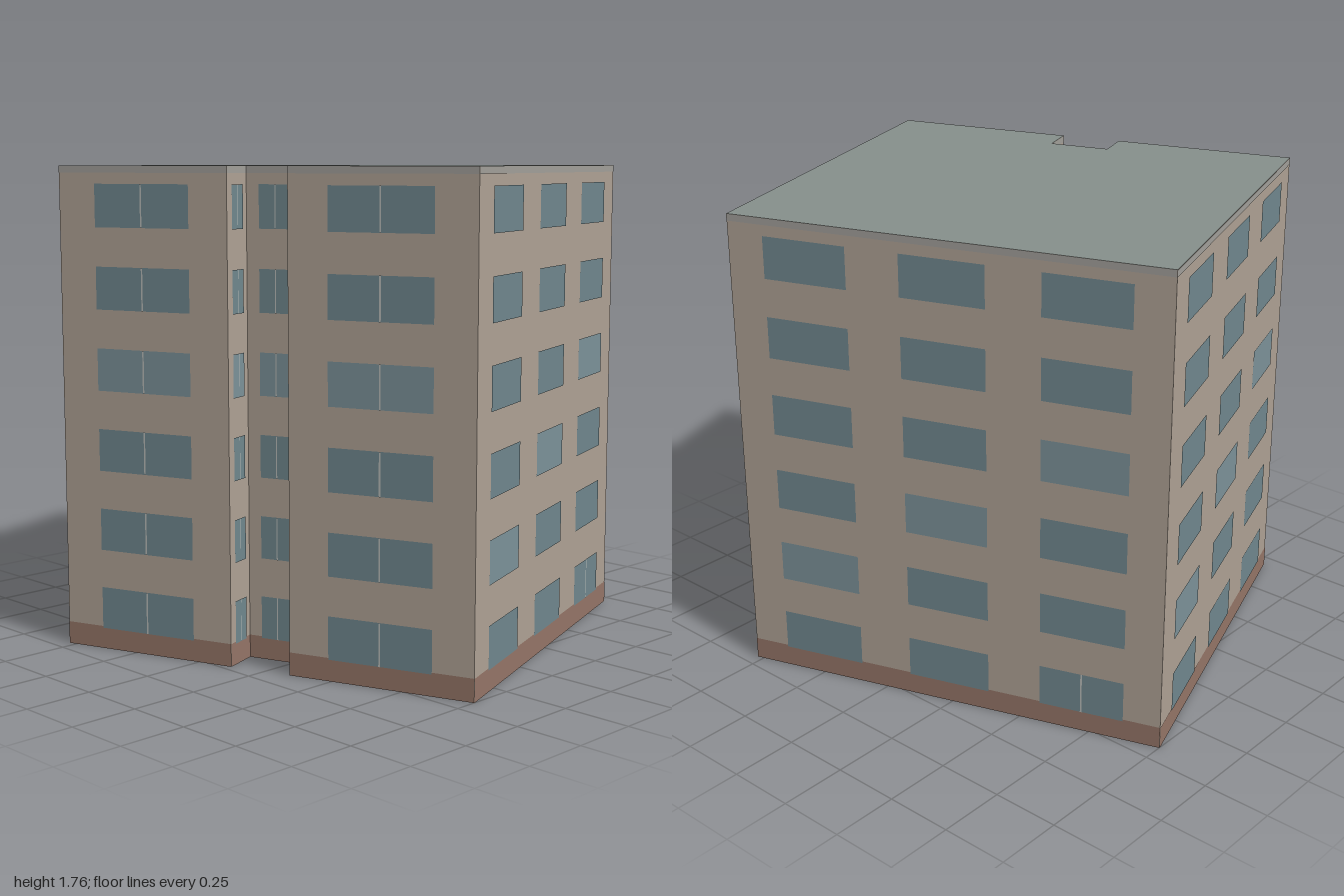
import * as THREE from 'three';

const HEIGHT = 1.765, FLOORS = 6, PITCH = 0.294, SILL = 0.077, WINDOW_H = 0.154;

// Footprint corners [x, z], running left to right as each wall is seen from outside
const CORNERS = [
  [-0.53, 0.945], [0.125, 0.72], [0.08, 0.59], [0.3, 0.515],
  [0.345, 0.642], [1, 0.418], [0.525, -0.95], [-1, -0.424],
];

// Bays of a wall as fractions of its length
const ONE_BAY = [[0.22, 0.78]];
const THREE_BAYS = [[0.085, 0.28], [0.403, 0.597], [0.72, 0.915]];
const WALLS = [
  { name: 'frontLeftWall', bays: ONE_BAY },
  { name: 'recessLeftWall', bays: ONE_BAY },
  { name: 'recessBackWall', bays: ONE_BAY },
  { name: 'recessRightWall', bays: ONE_BAY },
  { name: 'frontRightWall', bays: ONE_BAY },
  { name: 'rightSideWall', bays: THREE_BAYS, door: true },
  { name: 'backWall', bays: THREE_BAYS, door: true },
  { name: 'leftSideWall', bays: THREE_BAYS },
];

const paint = (color, side = THREE.FrontSide) => new THREE.MeshStandardMaterial({ color, side });

export function createModel() {
  const model = new THREE.Group();
  model.name = 'apartmentBlock';
  const wallPaint = paint(0xb0a396, THREE.DoubleSide);
  const roofPaint = paint(0x87908c, THREE.DoubleSide);
  const plinthPaint = paint(0x967668);
  const trimPaint = paint(0xa3a09b);
  const glass = paint(0x71888f);
  const litGlass = paint(0x7d939a);
  const framePaint = paint(0xb9bdb9);

  // Upright rectangle on a wall, between two corners, set proud by a hair
  const panel = (parent, name, x0, x1, y0, y1, out, material) => {
    const mesh = new THREE.Mesh(new THREE.PlaneGeometry(x1 - x0, y1 - y0), material);
    mesh.position.set((x0 + x1) / 2, (y0 + y1) / 2, out);
    mesh.name = name;
    parent.add(mesh);
  };

  WALLS.forEach(({ name, bays, door }, i) => {
    const [ax, az] = CORNERS[i];
    const [bx, bz] = CORNERS[(i + 1) % CORNERS.length];
    const length = Math.hypot(bx - ax, bz - az);

    // Local x runs along the wall, local z points outward
    const wall = new THREE.Group();
    wall.name = name;
    wall.position.set(ax, 0, az);
    wall.rotation.y = Math.atan2(az - bz, bx - ax);
    model.add(wall);

    panel(wall, 'wallSurface', 0, length, 0, HEIGHT, 0, wallPaint);
    panel(wall, 'plinth', 0, length, 0, 0.083, 0.0015, plinthPaint);
    panel(wall, 'roofTrim', 0, length, HEIGHT - 0.025, HEIGHT, 0.0015, trimPaint);

    // Windows, one pane colour lighter along a diagonal of floors
    bays.forEach(([from, to], bay) => {
      const x0 = from * length, x1 = to * length, mid = (x0 + x1) / 2;
      const single = bays.length === 1;
      for (let floor = 0; floor < FLOORS; floor++) {
        const y0 = SILL + floor * PITCH, y1 = y0 + WINDOW_H;
        const lit = floor === (single ? 3 : bay + 1);
        panel(wall, 'window', x0, x1, y0, y1, 0.003, lit ? litGlass : glass);
        const isDoor = door && floor === 0 && bay === bays.length - 1;
        if (single || isDoor) {
          const half = Math.min(0.003, length * 0.01);
          panel(wall, 'windowDivider', mid - half, mid + half, y0, y1, 0.0045, framePaint);
        }
      }
    });
  });

  // Flat roof over the footprint
  const outline = new THREE.Shape(CORNERS.map(([x, z]) => new THREE.Vector2(x, -z)));
  const roof = new THREE.Mesh(new THREE.ShapeGeometry(outline).rotateX(-Math.PI / 2), roofPaint);
  roof.position.y = HEIGHT;
  roof.name = 'roof';
  model.add(roof);

  return model;
}
